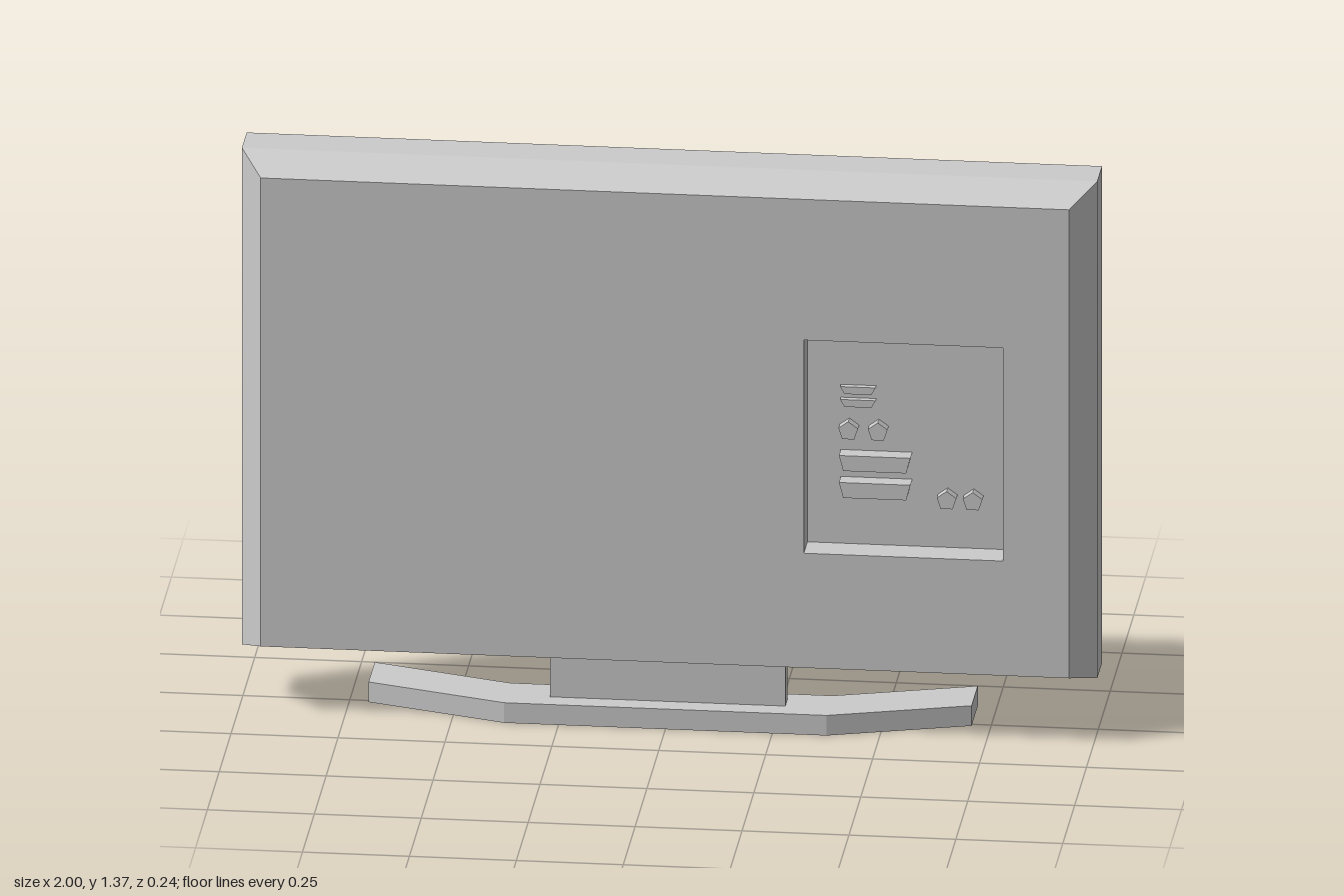
import * as THREE from 'three';

const material = new THREE.MeshStandardMaterial({ color: 0xcccccc, flatShading: true });

const toPath = (points, PathType = THREE.Shape) =>
  new PathType(points.map(([x, y]) => new THREE.Vector2(x, y)));
const rect = (x0, x1, y0, y1) => [[x0, y0], [x1, y0], [x1, y1], [x0, y1]];

// Outline (with an optional hole) extruded from z0 to z1
function slab(points, z0, z1, hole) {
  const shape = toPath(points);
  if (hole) shape.holes.push(toPath(hole, THREE.Path));
  return new THREE.ExtrudeGeometry(shape, { depth: z1 - z0, bevelEnabled: false }).translate(0, 0, z0);
}

function add(parent, name, geometry) {
  const mesh = new THREE.Mesh(geometry, material);
  mesh.name = name;
  parent.add(mesh);
  return mesh;
}

const OUTER = rect(-1, 1, 0.135, 1.37);
const OPENING = rect(-0.918, 0.918, 0.23, 1.275);
const PORT_BAY = rect(0.325, 0.79, 0.455, 0.985);
const BOARD_Z = -0.015;

// Jagged break in the screen
const BREAK = [
  [0.549, 1.063], [0.186, 0.938], [-0.177, 1.067], [-0.545, 1.064], [-0.375, 0.857], [-0.545, 0.648],
  [-0.545, 0.437], [-0.19, 0.705], [0.186, 0.606], [0.397, 0.439], [0.549, 0.647], [0.426, 0.858],
];

function buildHousing() {
  const group = new THREE.Group();
  group.name = 'housing';
  add(group, 'screenFrame', slab(OUTER, -0.08, 0.02, OPENING));

  // Tapered cover: its outer edge draws in at the far side
  const cover = slab(OUTER, 0.02, 0.12, PORT_BAY);
  const p = cover.attributes.position;
  for (let i = 0; i < p.count; i++) {
    if (Math.abs(p.getX(i)) > 0.99 && p.getZ(i) > 0.1) {
      p.setX(i, p.getX(i) * 0.945);
      p.setY(i, p.getY(i) + (p.getY(i) > 0.7 ? -0.035 : 0.035));
    }
  }
  cover.computeVertexNormals();
  add(group, 'taperedCover', cover);
  add(group, 'portBayFloor', slab(PORT_BAY, 0.02, 0.045));
  add(group, 'brokenScreen', slab(OPENING, -0.04, BOARD_Z, BREAK));
  add(group, 'circuitBoard', slab(OPENING, BOARD_Z, 0));
  return group;
}

function buildPorts() {
  const group = new THREE.Group();
  group.name = 'ports';
  // Sockets: left, right, bottom, top, height
  const sockets = [
    [0.403, 0.486, 0.832, 0.85, 0.015],
    [0.403, 0.486, 0.8, 0.818, 0.015],
    [0.403, 0.57, 0.65, 0.688, 0.04],
    [0.403, 0.57, 0.583, 0.621, 0.04],
  ];
  for (const [x0, x1, y0, y1, h] of sockets) {
    const outline = [[x0 + 0.01, y0], [x1 - 0.01, y0], [x1, y1], [x0, y1]];
    add(group, 'socket', slab(outline, 0.04, 0.045 + h));
  }
  // Five-sided round jacks
  for (const [x, y] of [[0.423, 0.743], [0.492, 0.743], [0.653, 0.579], [0.714, 0.579]]) {
    const outline = Array.from({ length: 5 }, (_, i) => {
      const a = Math.PI / 2 + (i * Math.PI * 2) / 5;
      return [x + 0.024 * Math.cos(a), y + 0.024 * Math.sin(a)];
    });
    add(group, 'jack', slab(outline, 0.04, 0.07));
  }
  return group;
}

function buildElectronics() {
  const group = new THREE.Group();
  group.name = 'electronics';

  // Flat raised conductors: a path and its shifted copy make the outline
  const trace = (points, dx, dy) => {
    const shifted = points.map(([x, y]) => [x + dx, y + dy]).reverse();
    add(group, 'trace', slab([...points, ...shifted], BOARD_Z - 0.004, BOARD_Z));
  };
  for (const x of [0.47, 0.41, 0.355]) {
    trace([[x, 1.05], [x, 0.8], [x - 0.06, 0.72], [x - 0.06, 0.45]], -0.028, -0.014);
  }
  for (const d of [0, 0.045]) {
    trace([[0.03 - d, 0.62], [0.03 - d, 0.925 - d], [-0.36 + d, 0.925 - d],
      [-0.33 + d, 0.99 - d], [-0.52, 0.99 - d]], -0.022, -0.022);
  }

  // Memory blocks and chips: centre x, centre y, width, height
  const chips = [
    ...[0.295, 0.235].flatMap((x) => [[x, 0.93, 0.042, 0.085], [x, 0.835, 0.042, 0.085]]),
    [-0.12, 0.805, 0.125, 0.045], [-0.12, 0.737, 0.125, 0.045],
  ];
  for (const [x, y, w, h] of chips) {
    add(group, 'chip', new THREE.BoxGeometry(w, h, 0.016).translate(x, y, BOARD_Z - 0.008));
  }

  // Capacitor clusters: centre x, centre y, columns, rows
  for (const [cx, cy, columns, rows] of [[0.145, 0.734, 3, 2], [-0.24, 0.768, 2, 3]]) {
    for (let i = 0; i < columns * rows; i++) {
      const x = cx + ((i % columns) - (columns - 1) / 2) * 0.043;
      const y = cy + (Math.floor(i / columns) - (rows - 1) / 2) * 0.043;
      const can = new THREE.CylinderGeometry(0.02, 0.02, 0.022, 8).rotateX(Math.PI / 2);
      add(group, 'capacitor', can.translate(x, y, BOARD_Z - 0.011));
    }
  }
  return group;
}

function buildStand() {
  const group = new THREE.Group();
  group.name = 'stand';
  add(group, 'neck', new THREE.BoxGeometry(0.55, 0.12, 0.04).translate(0, 0.1, 0.04));
  // Swept base drawn in plan, as x and -z
  const base = slab([
    [-0.705, -0.01], [-0.377, -0.11], [0.377, -0.11], [0.705, -0.01],
    [0.705, 0.12], [0.377, 0.02], [-0.377, 0.02], [-0.705, 0.12],
  ], 0, 0.05).rotateX(-Math.PI / 2);
  add(group, 'base', base);
  return group;
}

export function createModel() {
  const model = new THREE.Group();
  model.name = 'brokenTelevision';
  model.add(buildHousing(), buildPorts(), buildElectronics(), buildStand());
  return model;
}
